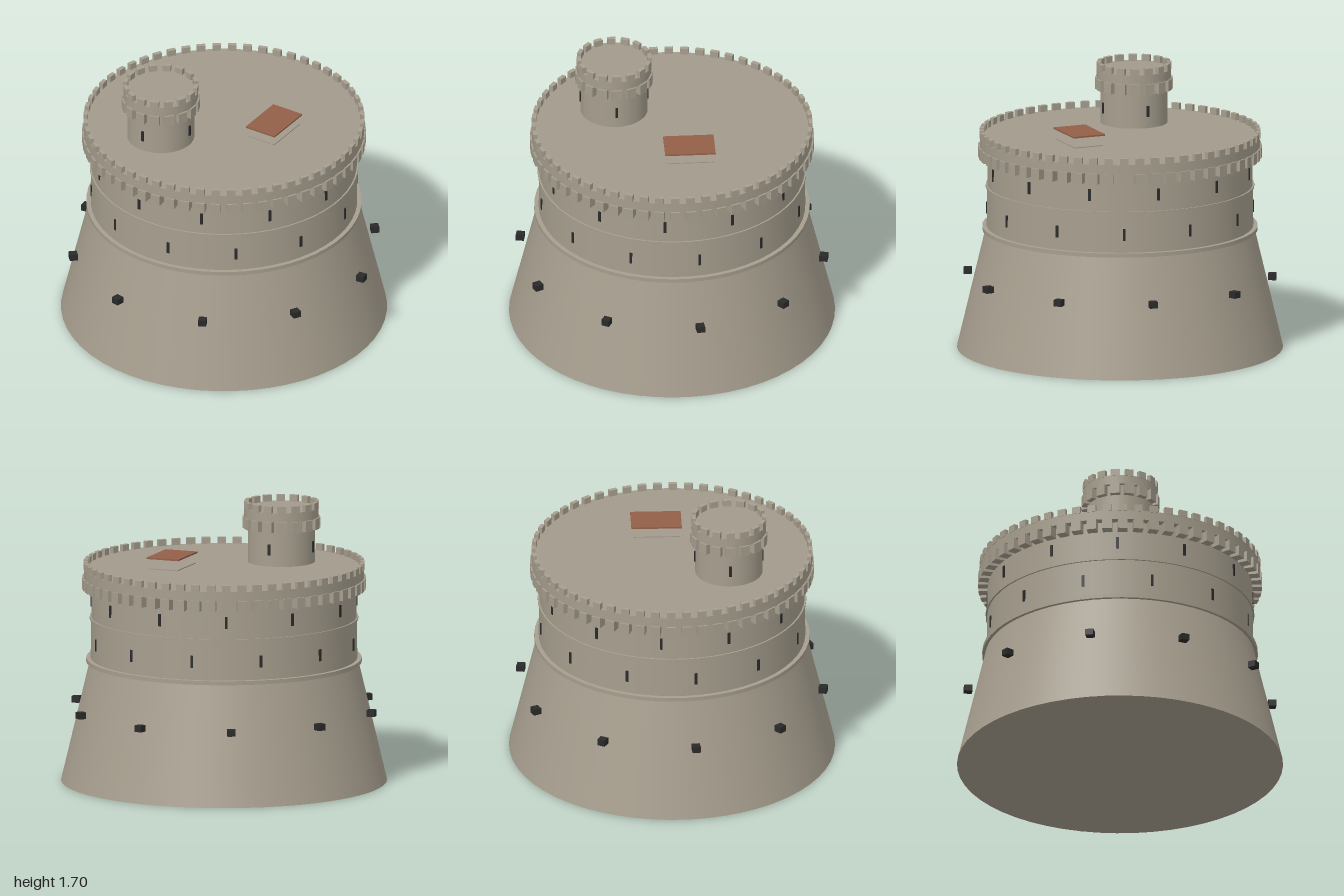
import * as THREE from 'three';

const mat = (name, color) => {
  const m = new THREE.MeshStandardMaterial({ color });
  m.name = name;
  return m;
};

export function createModel() {
  const stone = mat('stone', 0xa69e8e);
  const roofStone = mat('roof stone', 0xa39a8d);
  const dark = mat('dark openings', 0x2a2a2a);
  const rust = mat('hatch brown', 0x935f48);
  const model = new THREE.Group();
  model.name = 'roundFort';

  const add = (parent, name, geometry, material, x = 0, y = 0, z = 0) => {
    const mesh = new THREE.Mesh(geometry, material);
    mesh.name = name;
    mesh.position.set(x, y, z);
    parent.add(mesh);
    return mesh;
  };

  // Upright drum between two heights
  const drum = (parent, name, rBottom, rTop, y0, y1, material = stone, topMaterial = material) =>
    add(parent, name, new THREE.CylinderGeometry(rTop, rBottom, y1 - y0, 56),
      [material, topMaterial, material], 0, (y0 + y1) / 2, 0);

  // Boxes spaced evenly round a circle, each facing outward
  const ring = (parent, name, count, radius, y0, y1, width, depth, material, offset = 0) => {
    const group = new THREE.Group();
    group.name = name + 's';
    const geometry = new THREE.BoxGeometry(width, y1 - y0, depth);
    for (let i = 0; i < count; i++) {
      const a = offset + (i / count) * Math.PI * 2;
      const box = add(group, name, geometry, material,
        Math.sin(a) * radius, (y0 + y1) / 2, Math.cos(a) * radius);
      box.rotation.y = a;
    }
    parent.add(group);
  };

  // Overhanging parapet: corbels, solid band with roof, merlons
  const parapet = (parent, radius, y, count) => {
    ring(parent, 'corbel', count, radius - 0.02, y, y + 0.068, 0.06, 0.06, stone);
    drum(parent, 'parapetBand', radius, radius, y + 0.066, y + 0.125, stone, roofStone);
    ring(parent, 'merlon', count, radius - 0.011, y + 0.12, y + 0.165, 0.052, 0.026, stone);
  };

  // Main tower
  drum(model, 'slopedBase', 1, 0.825, 0, 0.737);
  drum(model, 'lowerMoulding', 0.845, 0.845, 0.737, 0.762);
  drum(model, 'mainDrum', 0.818, 0.81, 0.762, 1.27);
  drum(model, 'upperMoulding', 0.824, 0.824, 1.004, 1.018);
  parapet(model, 0.86, 1.195, 56);

  // Gun ports on the slope and slit windows on the drum
  ring(model, 'gunPort', 10, 0.938, 0.438, 0.478, 0.05, 0.05, dark, -0.127);
  ring(model, 'lowerSlit', 12, 0.811, 0.838, 0.912, 0.017, 0.02, dark);
  ring(model, 'upperSlit', 12, 0.808, 1.082, 1.157, 0.017, 0.02, dark, Math.PI / 12);

  // Lookout turret
  const turret = new THREE.Group();
  turret.name = 'turret';
  turret.position.set(-0.405, 0, -0.098);
  drum(turret, 'turretDrum', 0.206, 0.206, 1.31, 1.605);
  parapet(turret, 0.228, 1.533, 16);
  ring(turret, 'turretSlit', 4, 0.202, 1.39, 1.458, 0.017, 0.02, dark, Math.PI / 8);
  model.add(turret);

  // Roof hatch: low kerb with the cover raised above it
  const hatch = new THREE.Group();
  hatch.name = 'roofHatch';
  hatch.position.set(0.195, 0, 0.255);
  hatch.rotation.y = 0.38;
  add(hatch, 'hatchKerb', new THREE.BoxGeometry(0.29, 0.012, 0.19), roofStone, 0, 1.32, 0);
  add(hatch, 'hatchCover', new THREE.BoxGeometry(0.31, 0.01, 0.21), rust, 0, 1.39, 0);
  model.add(hatch);

  return model;
}
